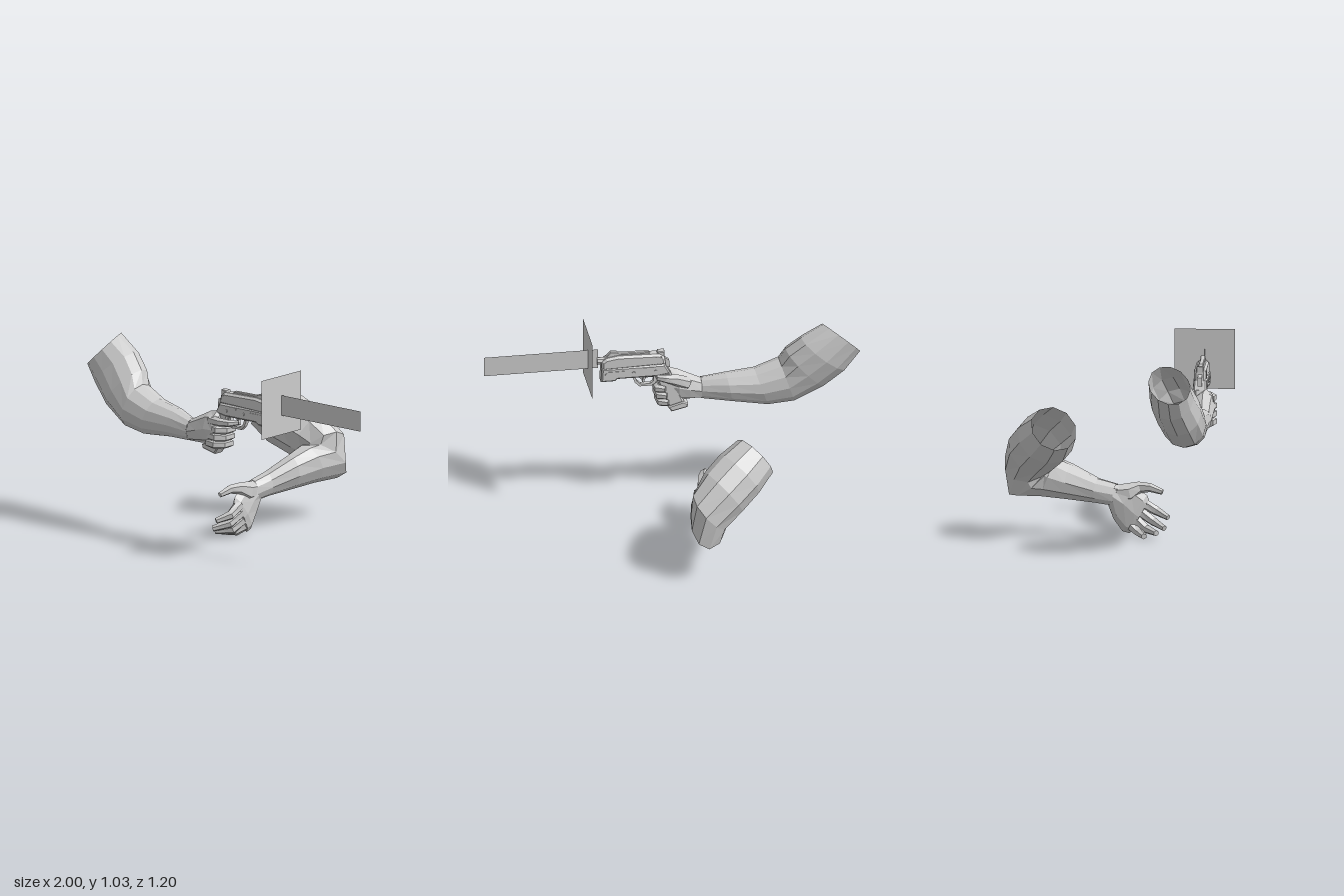
import * as THREE from 'three';

const V = (a) => new THREE.Vector3(...a);
const grey = new THREE.MeshStandardMaterial({ color: 0xcccccc, flatShading: true, side: THREE.DoubleSide });
grey.name = 'plain grey';

function add(parent, name, geometry, pos = [0, 0, 0], rot = [0, 0, 0]) {
  const m = new THREE.Mesh(geometry, grey);
  m.name = name;
  m.position.set(...pos);
  m.rotation.set(...rot);
  parent.add(m);
  return m;
}

// Skin through elliptical rings, each given as centre c and half axes u and v
function loft(rings, sides, capStart, capEnd) {
  const c0 = rings[0].c, along = rings[1].c.clone().sub(c0);
  const flip = rings[0].u.clone().cross(rings[0].v).dot(along) < 0 ? -1 : 1;
  const pos = [], idx = [], n = rings.length;
  for (const { c, u, v } of rings) {
    for (let k = 0; k < sides; k++) {
      const a = (k / sides) * Math.PI * 2;
      const p = c.clone().addScaledVector(u, Math.cos(a)).addScaledVector(v, flip * Math.sin(a));
      pos.push(p.x, p.y, p.z);
    }
  }
  pos.push(...c0.toArray(), ...rings[n - 1].c.toArray());
  for (let k = 0; k < sides; k++) {
    const k2 = (k + 1) % sides;
    for (let r = 0; r < n - 1; r++) {
      const a = r * sides + k, b = r * sides + k2;
      idx.push(a, b, b + sides, a, b + sides, a + sides);
    }
    const e = (n - 1) * sides;
    if (capStart) idx.push(n * sides, k2, k);
    if (capEnd) idx.push(n * sides + 1, e + k, e + k2);
  }
  const g = new THREE.BufferGeometry();
  g.setAttribute('position', new THREE.Float32BufferAttribute(pos, 3));
  g.setIndex(idx);
  const flat = g.toNonIndexed();
  flat.computeVertexNormals();
  return flat;
}

// Finger: six-sided tapering tube through a few joints
function finger(points, radii) {
  const p = points.map(V);
  const rings = p.map((c, i) => {
    const t = p[Math.min(i + 1, p.length - 1)].clone().sub(p[Math.max(i - 1, 0)]).normalize();
    const u = new THREE.Vector3(0, 1, 0).addScaledVector(t, -t.y).normalize();
    const v = t.clone().cross(u);
    return { c, u: u.multiplyScalar(radii[i]), v: v.multiplyScalar(radii[i]) };
  });
  return loft(rings, 6, true, true);
}

// Side-view outline extruded symmetrically across z
function plate(points, depth, bevel = 0, holes = []) {
  const s = new THREE.Shape(points.map(([x, y]) => new THREE.Vector2(x, y)));
  for (const h of holes) s.holes.push(new THREE.Path(h.map(([x, y]) => new THREE.Vector2(x, y))));
  const g = new THREE.ExtrudeGeometry(s, {
    depth: depth - 2 * bevel, bevelEnabled: bevel > 0, bevelSize: bevel,
    bevelThickness: bevel, bevelOffset: -bevel, bevelSegments: 1,
  });
  return g.translate(0, 0, bevel - depth / 2);
}

function gunArm() {
  const g = new THREE.Group();
  g.name = 'gunArm';
  // Top x,y; bottom x,y; z range; tilt of the ring along x,y
  const rows = [
    [-0.81, 1.03, -1.0, 0.86, 0.22, 0.44, 0.022, -0.025], [-0.69, 0.955, -0.93, 0.76, 0.22, 0.455],
    [-0.61, 0.88, -0.82, 0.66, 0.245, 0.49], [-0.58, 0.81, -0.66, 0.57, 0.275, 0.51],
    [-0.45, 0.755, -0.52, 0.55, 0.305, 0.508], [-0.3, 0.73, -0.33, 0.57, 0.35, 0.507],
    [-0.17, 0.7, -0.17, 0.58, 0.41, 0.512],
  ];
  const hand = [
    [-0.17, 0.7, -0.17, 0.58, 0.41, 0.512], [-0.1, 0.735, -0.11, 0.58, 0.4, 0.515],
    [-0.04, 0.765, -0.05, 0.585, 0.395, 0.52], [0.015, 0.775, 0.01, 0.58, 0.42, 0.522],
    [0.035, 0.755, 0.03, 0.595, 0.43, 0.515],
  ];
  const ring = ([tx, ty, bx, by, z0, z1, tiltX = 0, tiltY = 0]) => ({
    c: V([(tx + bx) / 2, (ty + by) / 2, (z0 + z1) / 2]),
    u: V([(tx - bx) / 2, (ty - by) / 2, 0]),
    v: V([tiltX, tiltY, (z1 - z0) / 2]),
  });
  add(g, 'bareArm', loft(rows.map(ring), 12, false, false));
  add(g, 'palm', loft(hand.map(ring), 8, false, true));
  // Three fingers wrapped around the grip
  for (let i = 0; i < 3; i++) {
    const y = 0.682 - 0.041 * i, d = -0.008 * i;
    add(g, 'grippingFinger', finger(
      [[-0.01 + d, y, 0.49], [0.045 + d, y, 0.505], [0.072 + d, y - 0.003, 0.475], [0.068 + d, y - 0.005, 0.41], [0.03 + d, y - 0.005, 0.395]],
      [0.026, 0.026, 0.025, 0.023, 0.018]));
  }
  add(g, 'triggerFinger', finger(
    [[-0.01, 0.725, 0.49], [0.06, 0.725, 0.503], [0.115, 0.725, 0.492], [0.15, 0.728, 0.455]],
    [0.028, 0.024, 0.019, 0.013]));
  add(g, 'thumb', finger(
    [[-0.09, 0.69, 0.425], [-0.025, 0.73, 0.393], [0.03, 0.745, 0.385], [0.075, 0.75, 0.397]],
    [0.035, 0.032, 0.023, 0.015]));
  return g;
}

function freeArm() {
  const g = new THREE.Group();
  g.name = 'freeArm';
  const N = [-0.64, -0.73, -0.23];
  // Centre, half axis towards the outside of the elbow, half width across the bend
  const rows = [
    [[-0.34, 0.612, -0.318], [-0.021, 0.054, -0.115], 0.127],
    [[-0.245, 0.54, -0.37], [-0.02, 0.063, -0.142], 0.145],
    [[-0.15, 0.47, -0.43], [-0.01, 0.055, -0.138], 0.145],
    [[-0.07, 0.39, -0.475], [0.04, 0.015, -0.122], 0.133],
    [[-0.065, 0.32, -0.46], [0.072, -0.075, -0.12], 0.12],
    [[-0.08, 0.315, -0.37], [0.07, -0.07, -0.03], 0.115],
    [[-0.1, 0.29, -0.25], [0.06, -0.06, 0.01], 0.1],
    [[-0.135, 0.248, -0.1], [0.045, -0.044, 0.007], 0.068],
    [[-0.147, 0.228, 0], [0.036, -0.042, 0.006], 0.06],
  ];
  add(g, 'bareArm', loft(rows.map(([c, u, w]) => ({ c: V(c), u: V(u), v: V(N).multiplyScalar(w) })), 10, false, false));
  const palm = [
    [[-0.147, 0.228, -0.02], [0, 0.055, 0.02], 0.048], [[-0.143, 0.185, 0.043], [0, 0.088, 0.055], 0.045],
    [[-0.128, 0.127, 0.1], [0, 0.098, 0.065], 0.036], [[-0.125, 0.108, 0.125], [0, 0.09, 0.052], 0.028],
  ];
  add(g, 'palm', loft(palm.map(([c, u, w]) => ({ c: V(c), u: V(u), v: V([w, 0, 0]) })), 8, true, true));
  // Knuckle, middle joint, tip
  const fingers = [
    [[-0.12, 0.18, 0.14], [-0.115, 0.138, 0.215], [-0.16, 0.11, 0.28]],
    [[-0.12, 0.135, 0.125], [-0.135, 0.085, 0.2], [-0.2, 0.058, 0.262]],
    [[-0.125, 0.09, 0.105], [-0.145, 0.045, 0.165], [-0.22, 0.035, 0.22]],
    [[-0.13, 0.055, 0.085], [-0.155, 0.028, 0.125], [-0.23, 0.018, 0.155]],
  ];
  for (const f of fingers) add(g, 'openFinger', finger(f, [0.029, 0.025, 0.016]));
  add(g, 'thumb', finger(
    [[-0.145, 0.235, 0], [-0.135, 0.238, 0.07], [-0.13, 0.266, 0.13], [-0.145, 0.268, 0.185], [-0.16, 0.247, 0.25]],
    [0.045, 0.052, 0.032, 0.024, 0.015]));
  return g;
}

function pistol() {
  const g = new THREE.Group();
  g.name = 'pistol';
  g.position.z = 0.438;
  add(g, 'slide', plate([[0.025, 0.815], [0.03, 0.86], [0.06, 0.88], [0.28, 0.885], [0.345, 0.875], [0.37, 0.855], [0.37, 0.805]], 0.064, 0.012));
  add(g, 'frame', plate([[0.0, 0.765], [0.03, 0.82], [0.37, 0.82], [0.375, 0.74], [0.3, 0.74], [0.285, 0.752], [0.07, 0.752]], 0.07, 0.008));
  add(g, 'grip', plate([[0.0, 0.77], [0.09, 0.77], [0.055, 0.68], [0.01, 0.56], [-0.075, 0.585], [-0.03, 0.69]], 0.06, 0.01));
  add(g, 'magazineBase', plate([[-0.095, 0.575], [-0.09, 0.555], [-0.005, 0.535], [0.015, 0.565], [-0.07, 0.59]], 0.07, 0.006));
  add(g, 'triggerGuard', plate(
    [[0.07, 0.77], [0.075, 0.705], [0.1, 0.69], [0.165, 0.69], [0.19, 0.715], [0.21, 0.77]], 0.024, 0,
    [[[0.088, 0.76], [0.09, 0.715], [0.106, 0.703], [0.158, 0.703], [0.178, 0.722], [0.192, 0.76]]]));
  add(g, 'trigger', plate([[0.13, 0.765], [0.15, 0.765], [0.143, 0.735], [0.15, 0.712], [0.138, 0.715], [0.13, 0.738]], 0.014));
  add(g, 'barrel', new THREE.CylinderGeometry(0.02, 0.02, 0.06, 8), [0.362, 0.855, 0], [0, 0, Math.PI / 2]);
  add(g, 'rearSight', plate([[0.03, 0.86], [0.03, 0.892], [0.065, 0.89], [0.075, 0.87]], 0.04, 0.004));
  add(g, 'topRib', plate([[0.1, 0.87], [0.115, 0.893], [0.27, 0.895], [0.29, 0.905], [0.32, 0.905], [0.35, 0.872]], 0.026, 0.004));
  add(g, 'hammer', plate([[0.0, 0.79], [0.005, 0.835], [0.03, 0.85], [0.04, 0.8]], 0.022));
  // Side details on both faces
  for (const s of [-1, 1]) {
    add(g, 'slideLock', new THREE.BoxGeometry(0.06, 0.014, 0.008), [0.12, 0.805, s * 0.035]);
    add(g, 'sidePanel', new THREE.BoxGeometry(0.1, 0.03, 0.006), [0.3, 0.785, s * 0.035]);
    for (const x of [0.08, 0.2, 0.345]) {
      add(g, 'pin', new THREE.CylinderGeometry(0.009, 0.009, 0.008, 8), [x, 0.785, s * 0.036], [Math.PI / 2, 0, 0]);
    }
    for (let i = 0; i < 4; i++) {
      add(g, 'gripRidge', new THREE.BoxGeometry(0.006, 0.045, 0.006), [0.05 + i * 0.014, 0.845, s * 0.031]);
    }
  }
  return g;
}

// Flat cards in front of the muzzle; the long one passes through the square one
function muzzleFlash() {
  const g = new THREE.Group();
  g.name = 'muzzleFlash';
  add(g, 'flashSideCard', new THREE.PlaneGeometry(0.615, 0.11), [0.6925, 0.867, 0.44]);
  add(g, 'flashFrontCard', new THREE.PlaneGeometry(0.322, 0.322), [0.44, 0.867, 0.44], [0, Math.PI / 2, 0]);
  return g;
}

export function createModel() {
  const model = new THREE.Group();
  model.name = 'armsWithPistol';
  model.add(gunArm(), freeArm(), pistol(), muzzleFlash());
  return model;
}
